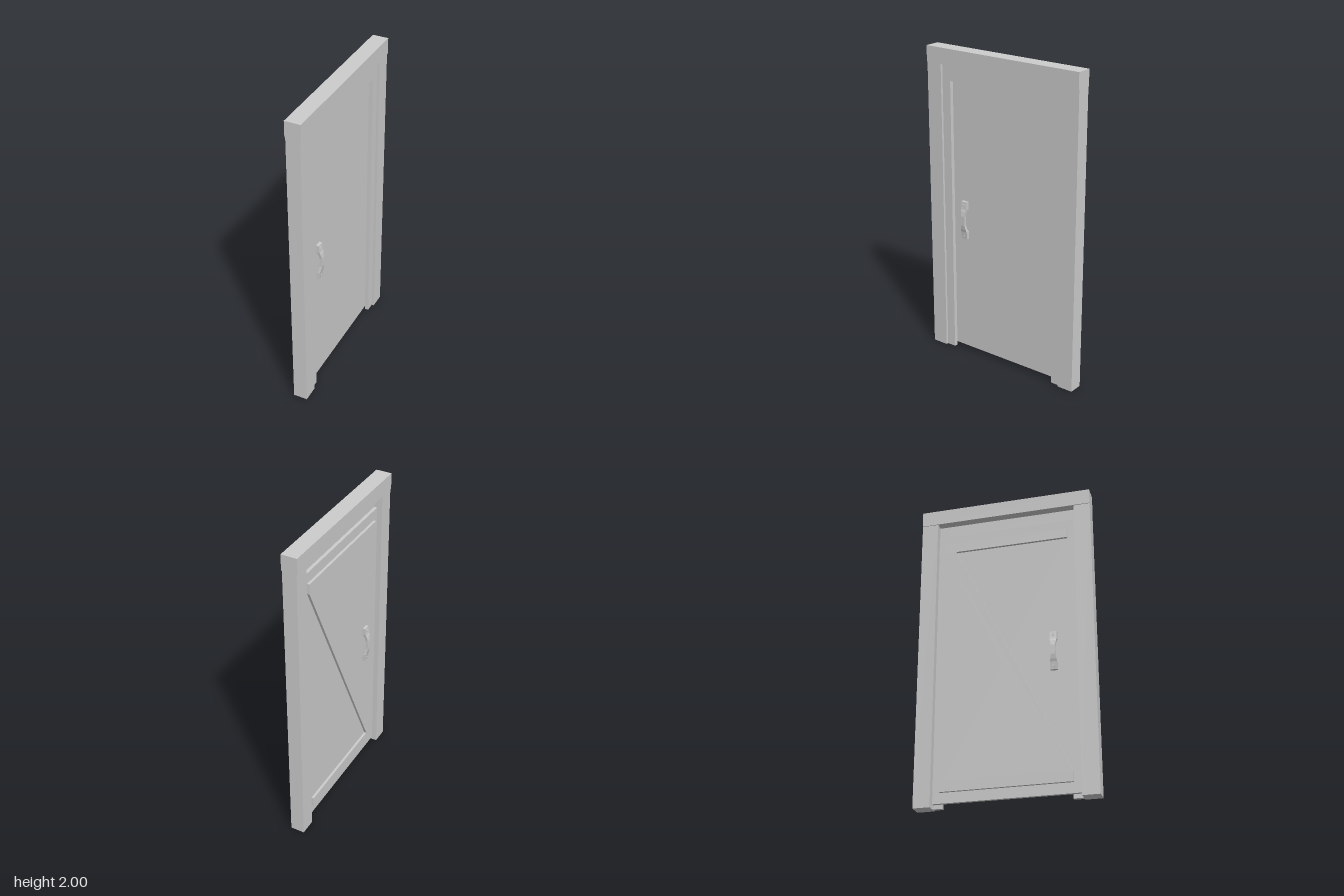
import * as THREE from 'three';

const material = new THREE.MeshStandardMaterial({ color: 0xcccccc, flatShading: true });

// Box given by its min and max on each axis
function box(name, [x0, x1], [y0, y1], [z0, z1]) {
  const mesh = new THREE.Mesh(new THREE.BoxGeometry(x1 - x0, y1 - y0, z1 - z0), material);
  mesh.position.set((x0 + x1) / 2, (y0 + y1) / 2, (z0 + z1) / 2);
  mesh.name = name;
  return mesh;
}

// Grip lofted along y from rectangular sections: [y, half width, inner x, outer x]
function gripGeometry() {
  const half = [[0.125, 0.022, 0, 0.018], [0.075, 0.022, 0, 0.024], [0.06, 0.019, 0.012, 0.029], [0.03, 0.014, 0.019, 0.034]];
  const sections = [...half.map(([y, ...r]) => [-y, ...r]), ...half.slice().reverse()];
  const rings = sections.map(([y, w, a, b]) => [[a, y, w], [b, y, w], [b, y, -w], [a, y, -w]]);
  const pos = [];
  const quad = (a, b, c, d) => pos.push(...a, ...b, ...c, ...a, ...c, ...d);
  for (let i = 0; i < rings.length - 1; i++) {
    for (let j = 0; j < 4; j++) {
      const k = (j + 1) % 4;
      quad(rings[i][j], rings[i][k], rings[i + 1][k], rings[i + 1][j]);
    }
  }
  const [first, last] = [rings[0], rings[rings.length - 1]];
  quad(first[3], first[2], first[1], first[0]);
  quad(...last);
  const geometry = new THREE.BufferGeometry();
  geometry.setAttribute('position', new THREE.Float32BufferAttribute(pos, 3));
  geometry.computeVertexNormals();
  return geometry;
}

// Pull handle with a screw in each foot, facing +x
function makeHandle(name) {
  const handle = new THREE.Group();
  handle.name = name;
  const grip = new THREE.Mesh(gripGeometry(), material);
  grip.name = 'grip';
  handle.add(grip);
  for (const s of [-1, 1]) {
    const screw = new THREE.Mesh(new THREE.CylinderGeometry(0.007, 0.007, 0.008, 8), material);
    screw.name = 'screw';
    screw.rotation.z = Math.PI / 2;
    screw.position.set(0.02, s * 0.103, 0);
    handle.add(screw);
  }
  return handle;
}

export function createModel() {
  const model = new THREE.Group();
  model.name = 'door';
  const back = -0.015, front = 0.005;

  // Frame: lintel, posts and the thinner stops inside them
  model.add(box('lintel', [-0.05, 0.05], [1.9, 2], [-0.555, 0.555]));
  for (const s of [-1, 1]) {
    const span = (a, b) => [Math.min(s * a, s * b), Math.max(s * a, s * b)];
    model.add(box('post', [-0.045, 0.045], [0, 1.9], span(0.45, 0.555)));
    model.add(box('sideStop', [front, 0.03], [0, 1.9], span(0.39, 0.45)));
  }
  model.add(box('topStop', [front, 0.03], [1.8, 1.9], [-0.39, 0.39]));

  // Door leaf with two rails on its back
  model.add(box('doorPanel', [back, front], [0.025, 1.815], [-0.445, 0.445]));
  const railX = [-0.031, back];
  model.add(box('topRail', railX, [1.685, 1.75], [-0.4, 0.4]));
  model.add(box('bottomRail', railX, [0.09, 0.155], [-0.4, 0.4]));

  // Diagonal brace between the rails; shape x becomes -z
  const outline = [[0.4, 1.685], [0.325, 1.685], [-0.4, 0.155], [-0.325, 0.155]];
  const shape = new THREE.Shape(outline.map(([x, y]) => new THREE.Vector2(x, y)));
  const brace = new THREE.Mesh(
    new THREE.ExtrudeGeometry(shape, { depth: railX[1] - railX[0], bevelEnabled: false }), material);
  brace.name = 'diagonalBrace';
  brace.rotation.y = Math.PI / 2;
  brace.position.x = railX[0];
  model.add(brace);

  // A handle on each face
  const frontHandle = makeHandle('frontHandle');
  frontHandle.position.set(front, 0.915, 0.3);
  const backHandle = makeHandle('backHandle');
  backHandle.position.set(back, 0.915, 0.3);
  backHandle.rotation.y = Math.PI;
  model.add(frontHandle, backHandle);

  return model;
}
